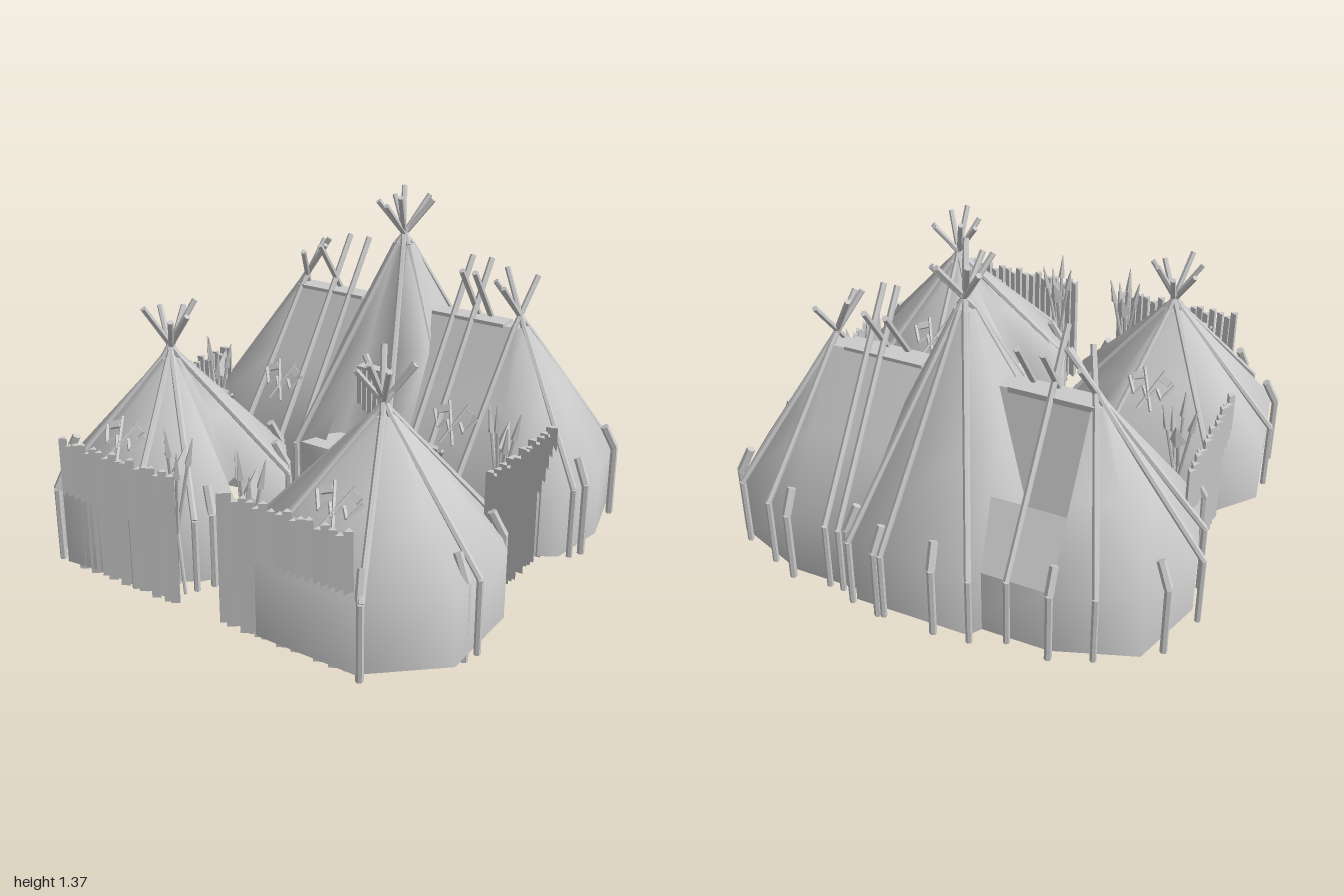
import * as THREE from 'three';

const mat = new THREE.MeshStandardMaterial({ color: 0xcccccc });
const cloth = new THREE.MeshStandardMaterial({ color: 0xcccccc, side: THREE.DoubleSide });
const wood = new THREE.MeshStandardMaterial({ color: 0xcccccc, flatShading: true });
const UP = new THREE.Vector3(0, 1, 0);
const EAVE = 0.31, HEM = 0.03;

// Straight bar between two points
function bar(parent, a, b, r, name, sides = 6, r2 = r, turn = 0) {
  const p = new THREE.Vector3(...a), q = new THREE.Vector3(...b);
  const d = q.clone().sub(p);
  const m = new THREE.Mesh(new THREE.CylinderGeometry(r2, r, d.length(), sides, 1, false, turn), wood);
  m.position.copy(p).addScaledVector(d, 0.5);
  m.quaternion.setFromUnitVectors(UP, d.normalize());
  m.name = name;
  parent.add(m);
}

function box(parent, size, pos, name, rotZ = 0) {
  const m = new THREE.Mesh(new THREE.BoxGeometry(...size), mat);
  m.position.set(...pos);
  m.rotation.z = rotZ;
  m.name = name;
  parent.add(m);
}

// Surface through rows of points, skipping chosen columns
function skin(rows, name, closed, skip = () => false) {
  const n = rows[0].length, idx = [];
  for (let j = 0; j < rows.length - 1; j++) {
    for (let i = 0; i < (closed ? n : n - 1); i++) {
      if (skip(j, i)) continue;
      const a = j * n + i, b = j * n + (i + 1) % n;
      idx.push(a, a + n, b, b, a + n, b + n);
    }
  }
  const g = new THREE.BufferGeometry();
  g.setAttribute('position', new THREE.Float32BufferAttribute(rows.flat(2), 3));
  g.setIndex(idx);
  g.computeVertexNormals();
  const m = new THREE.Mesh(g, cloth);
  m.name = name;
  return m;
}

// Tent: wall and sloping roof over an outline whose last edge is the doorway,
// long poles crossing at the tip, and short posts leaning on the eave
function tent({ name, c, h, outline, poles, posts, ridge = {}, noRoof = [], spread = 0.11 }) {
  const g = new THREE.Group();
  g.name = name;
  const at = (y) => outline.map(([x, z]) => [x, y, z]);
  const near = (x, z, r, y, twist = 0) => {
    const a = Math.atan2(z - c[1], x - c[0]) + twist;
    return [c[0] + Math.cos(a) * r, y, c[1] + Math.sin(a) * r];
  };
  const top = outline.map(([x, z], i) => ridge[i] ? [ridge[i][0], h, ridge[i][1]] : near(x, z, 0.042, h));
  const eave = at(EAVE);
  const middle = top.map((t, i) => t.map((v, q) => (v + eave[i][q]) / 2));
  const tip = top.map(() => [c[0], h, c[1]]);
  g.add(skin([at(HEM), eave, middle, top], 'tentCloth', true,
    (j, i) => j === 0 ? i === outline.length - 1 : noRoof.includes(i)));
  g.add(skin([top, tip], 'tentTop', true));
  poles.forEach(([x, z], i) => {
    const waist = near(x, z, 0.035, h);
    bar(g, [x, 0.01, z], [x, EAVE, z], 0.013, 'polePost');
    bar(g, [x, EAVE, z], waist, 0.013, 'roofPole');
    bar(g, waist, near(x, z, spread, h + 0.2 + 0.025 * Math.sin(i * 2), Math.PI + 0.3 * Math.sin(i * 3)), 0.012, 'poleTop');
  });
  posts.forEach(([x, z]) => {
    const r = Math.hypot(x - c[0], z - c[1]);
    bar(g, [x, 0, z], [x, EAVE, z], 0.015, 'shortPost');
    bar(g, [x, EAVE, z], near(x, z, r - 0.05, 0.41), 0.018, 'shortPostTop');
  });
  return g;
}

// Fence of three-sided stakes with uneven tops
function fence(a, b, n, turn) {
  const g = new THREE.Group();
  g.name = 'stakeFence';
  for (let i = 0; i < n; i++) {
    const t = i / (n - 1), x = a[0] + (b[0] - a[0]) * t, z = a[1] + (b[1] - a[1]) * t;
    const y = 0.545 + 0.015 * Math.sin(i * 2.3);
    bar(g, [x, 0.02 + 0.01 * Math.sin(i * 3.7), z], [x + 0.004 * Math.sin(i * 5), y, z], 0.021, 'stake', 3, 0.019, turn);
  }
  return g;
}

// Bundle of crossing spears, one leaning back with a broad head
function spears(x, z) {
  const g = new THREE.Group();
  g.name = 'spearBundle';
  g.position.set(x, 0, z);
  for (const [dx, dz, y] of [[0, 0.04, 0.66], [0.07, -0.03, 0.62], [-0.07, -0.03, 0.63], [0.05, 0.04, 0.58]]) {
    bar(g, [-dx * 0.6, 0.02, -dz * 0.6], [dx * 0.7, y - 0.07, dz * 0.7], 0.007, 'spearShaft');
    bar(g, [dx * 0.7, y - 0.07, dz * 0.7], [dx, y + 0.04, dz], 0.016, 'spearHead', 4, 0.002);
  }
  bar(g, [0, 0.03, 0.08], [0, 0.5, -0.02], 0.009, 'leaningShaft');
  bar(g, [0, 0.5, -0.02], [0, 0.6, -0.07], 0.035, 'leaningHead', 4, 0.002);
  return g;
}

// Raised ornament: crossed axes over a zigzag
function ornament(x, y, z, tilt, turn) {
  const g = new THREE.Group();
  g.name = 'axeOrnament';
  g.position.set(x, y, z);
  g.rotation.set(-tilt, turn, 0, 'YXZ');
  for (const s of [-1, 1]) {
    bar(g, [-s * 0.03, -0.09, 0.012], [s * 0.045, 0.09, 0.012], 0.007, 'axeHandle', 4);
    box(g, [0.045, 0.03, 0.014], [s * 0.06, 0.05, 0.012], 'axeHead', -s * 0.4);
  }
  const zig = [[-0.1, 0.04], [-0.06, -0.03], [-0.03, 0.01], [0, -0.04], [0.03, 0.01], [0.06, -0.03], [0.1, 0.04]];
  for (let i = 0; i < zig.length - 1; i++) bar(g, [...zig[i], 0.01], [...zig[i + 1], 0.01], 0.008, 'zigzag', 4);
  return g;
}

export function createModel() {
  const model = new THREE.Group();

  // Front tents, doorways facing each other
  model.add(tent({
    name: 'rightFrontTent', c: [-0.51, 0.48], h: 0.79,
    outline: [[-0.2, 0.59], [-0.04, 0.65], [-0.13, 0.79], [-0.34, 0.935], [-0.67, 0.965], [-0.92, 0.72],
      [-0.985, 0.33], [-0.8, 0.11], [-0.35, 0.02], [-0.26, 0.06], [-0.08, 0.28], [-0.25, 0.39]],
    poles: [[-0.08, 0.28], [-0.36, 0.02], [-0.81, 0.12], [-0.98, 0.47], [-0.8, 0.86], [-0.33, 0.94], [-0.12, 0.82]],
    posts: [[-0.14, 0.21], [-0.3, 0.04], [-0.95, 0.68], [-0.75, 0.92], [-0.1, 0.74]],
  }));
  model.add(tent({
    name: 'leftFrontTent', c: [0.52, 0.5], h: 0.79,
    outline: [[0.23, 0.4], [0.06, 0.27], [0.2, 0.14], [0.36, 0.05], [0.73, 0.06], [0.96, 0.35],
      [0.97, 0.73], [0.71, 0.965], [0.29, 0.965], [0.2, 0.9], [0.05, 0.65], [0.21, 0.58]],
    poles: [[0.2, 0.14], [0.48, 0.05], [0.81, 0.15], [0.98, 0.59], [0.73, 0.96], [0.24, 0.93], [0.06, 0.66]],
    posts: [[0.09, 0.23], [0.38, 0.04], [0.9, 0.26], [0.955, 0.64], [0.72, 0.95], [0.13, 0.79]],
  }));

  // Back side tents with a ridge running in to the tall tent
  const backTents = [
    { s: -1, name: 'rightBackTent', cx: -0.51,
      outline: [[-0.12, -0.03], [-0.58, -0.04], [-0.85, -0.12], [-0.94, -0.45], [-0.84, -0.77], [-0.52, -0.88], [-0.12, -0.88]],
      poles: [[-0.97, -0.48], [-0.92, -0.3], [-0.68, -0.84], [-0.55, -0.03]],
      posts: [[-0.52, -0.89], [-0.9, -0.68], [-0.86, -0.11]],
      rafters: [[0.35, -1], [0.35, 1], [0.25, 1]], noRoof: [5, 6] },
    { s: 1, name: 'leftBackTent', cx: 0.57,
      outline: [[0.12, -0.88], [0.58, -0.88], [0.89, -0.76], [0.97, -0.45], [0.93, -0.18], [0.7, -0.04], [0.12, -0.03]],
      poles: [[0.87, -0.78], [0.95, -0.24], [0.7, -0.85], [0.53, -0.03]],
      posts: [[0.59, -0.89], [0.92, -0.72], [0.97, -0.31]],
      rafters: [[0.36, -1], [0.42, -1], [0.28, 1], [0.37, 1]], noRoof: [6] },
  ];
  for (const { s, cx, name, outline, poles, posts, rafters, noRoof } of backTents) {
    const ridge = {};
    for (const i of [0, 1, 5, 6]) ridge[i] = [i % 6 ? cx : 0.12 * s, outline[i][1] < -0.45 ? -0.49 : -0.41];
    const back = tent({ name, c: [cx, -0.45], h: 0.87, outline, poles, posts, ridge, noRoof });
    box(back, [0.34, 0.025, 0.09], [0.35 * s, 0.865, -0.45], 'ridgeBoard');
    for (const [x, d] of rafters) {
      const ez = -0.455 + d * 0.43;
      bar(back, [x * s, 0.01, ez], [x * s, EAVE, ez], 0.013, 'rafterPost');
      bar(back, [x * s, EAVE, ez], [x * s, 1.1, -0.45 - d * 0.12], 0.013, 'rafter');
    }
    model.add(back);

    // Roof opening beside the tall tent: low strip, steep inner panel and cheek
    if (s < 0) {
      const across = (z, y) => [[-0.52, y, z], [-0.12, y, z]];
      back.add(skin([across(-0.88, EAVE), across(-0.72, 0.54)], 'lowRoofStrip', false));
      back.add(skin([across(-0.72, 0.15), across(-0.49, 0.87)], 'innerPanel', false));
      back.add(skin([[[-0.52, 0.15, -0.72], [-0.52, 0.54, -0.72]], across(-0.49, 0.87).map(() => [-0.52, 0.87, -0.49])], 'panelCheek', false));
    }

    // Fences, spears and ornaments
    model.add(fence([0.12 * s, 0.94], [0.67 * s, 0.94], 18, Math.PI / 2));
    model.add(fence([0.84 * s, -0.27], [0.84 * s, 0.27], 18, Math.PI));
    model.add(spears(0.17 * s, 0.86), spears(0.72 * s, -0.03));
    model.add(ornament(0.51 * s, 0.53, 0.78, 0.75, 0), ornament(0.51 * s, 0.53, 0.21, 0.75, Math.PI));
    model.add(ornament(0.44 * s, 0.5, -0.16, 0.59, 0));
  }

  // Tall middle tent
  model.add(tent({
    name: 'tallTent', c: [0.015, -0.44], h: 1.14, spread: 0.12,
    outline: [[-0.11, -0.16], [-0.24, 0.01], [-0.38, -0.2], [-0.41, -0.45], [-0.37, -0.7], [-0.21, -0.93],
      [0.27, -0.93], [0.4, -0.7], [0.44, -0.45], [0.4, -0.2], [0.22, 0.02], [0.11, -0.16]],
    poles: [[-0.24, 0.01], [-0.22, -0.94], [0.14, -0.95], [0.29, -0.93], [0.22, 0.02], [0.4, -0.25], [-0.38, -0.25]],
    posts: [[-0.07, -0.945], [0.17, -0.945], [0.33, -0.87]],
  }));

  // Porch in front of the tall tent, open below
  const porch = new THREE.Group();
  porch.name = 'porch';
  const plan = [[-0.14, -0.15], [-0.2, 0.03], [0.15, 0.03], [0.12, -0.15]];
  const ring = (y) => plan.map(([x, z]) => [x, y, z]);
  const roof = plan.map(() => [0, 0.33, -0.06]);
  porch.add(skin([ring(HEM), ring(0.33)], 'porchWalls', true, (j, i) => i === 3));
  porch.add(skin([ring(0.33), roof], 'porchRoof', true));
  model.add(porch);

  // Ribbed smoke flap above the porch
  const flap = new THREE.Group();
  flap.name = 'smokeFlap';
  for (let i = 0; i < 5; i++) {
    const x = -0.005 + i * 0.026, low = 0.5 - i * 0.026;
    box(flap, [0.02, 0.67 - low, 0.03], [x, (0.67 + low) / 2, -0.14], 'flapRib');
  }
  box(flap, [0.125, 0.012, 0.05], [0.047, 0.664, -0.15], 'flapTop');
  model.add(flap);

  return model;
}
